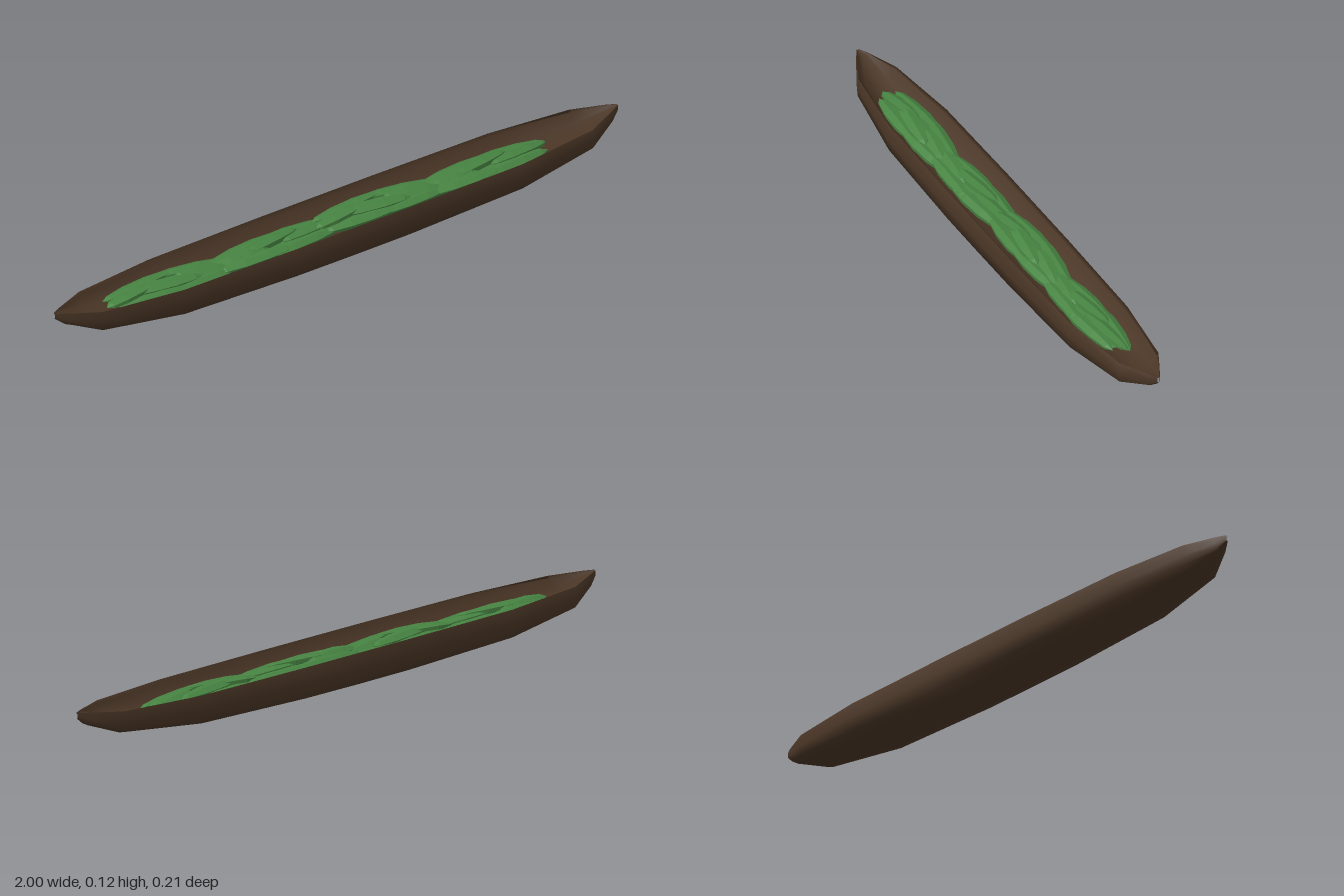
import * as THREE from 'three';

const brown = new THREE.MeshStandardMaterial({ color: 0x4a3626 });
const green = new THREE.MeshStandardMaterial({ color: 0x478442, flatShading: true });

// Stations along half the hull: x, half width, bottom, rim height, inner floor
const HALF = [
  [0, 0.105, 0, 0.11, 0.05],
  [0.2, 0.105, 0.001, 0.11, 0.05],
  [0.6, 0.1, 0.012, 0.11, 0.052],
  [0.87, 0.067, 0.04, 0.113, 0.075],
  [0.97, 0.02, 0.078, 0.119, 0.112],
  [1, 0.003, 0.102, 0.12, 0.117],
];

// Closed cross-section running under the hull, over the rims and through the hollow
function section([x, w, bottom, rim, floor]) {
  const h = rim - bottom;
  const side = [
    [0.57, bottom], [0.95, bottom + 0.11 * h], [1, bottom + 0.52 * h],
    [0.96, rim], [0.87, rim - 0.15 * (rim - floor)], [0.6, floor],
  ];
  const right = side.map(([s, y]) => [x, y, s * w]);
  const left = side.map(([s, y]) => [x, y, -s * w]).reverse();
  return [[x, bottom, 0], ...right, [x, floor, 0], ...left];
}

function hullGeometry() {
  const stations = [
    ...HALF.slice(1).reverse().map(([x, ...rest]) => [-x, ...rest]),
    ...HALF,
  ];
  const rings = stations.map(section);
  const n = rings[0].length;
  const index = [];
  for (let i = 0; i < rings.length - 1; i++) {
    for (let j = 0; j < n; j++) {
      const a = i * n + j, d = i * n + (j + 1) % n;
      index.push(a, a + n, d, d, a + n, d + n);
    }
  }
  // Close both tips
  const last = (rings.length - 1) * n;
  for (let j = 1; j < n - 1; j++) {
    index.push(0, j, j + 1, last, last + j + 1, last + j);
  }
  // Tips are wound so that they face outward along x
  const capStart = index.length - (n - 2) * 6;
  for (let k = capStart; k < index.length; k += 3) {
    [index[k + 1], index[k + 2]] = [index[k + 2], index[k + 1]];
  }
  const geo = new THREE.BufferGeometry();
  geo.setAttribute('position', new THREE.Float32BufferAttribute(rings.flat(2), 3));
  geo.setIndex(index);
  geo.computeVertexNormals();
  return geo;
}

// Pointed, faceted leaf lying along x
function leafGeometry() {
  const geo = new THREE.SphereGeometry(1, 6, 5);
  geo.rotateZ(Math.PI / 2);
  return geo;
}

// One clump of leaves: x, y, z, half length, half width, yaw, tilt
const CLUMP = [
  [0.0, 0.06, 0.0, 0.2, 0.05, 0, 0],
  [-0.1, 0.077, -0.038, 0.13, 0.026, 0.05, 0.04],
  [0.07, 0.074, -0.036, 0.14, 0.026, -0.1, -0.05],
  [-0.09, 0.072, 0.036, 0.13, 0.025, -0.06, 0.03],
  [0.1, 0.07, 0.036, 0.13, 0.025, 0.07, -0.04],
  [-0.04, 0.083, 0.008, 0.13, 0.027, -0.14, 0.02],
  [0.12, 0.076, 0.004, 0.11, 0.028, -0.16, -0.05],
  [-0.14, 0.081, -0.005, 0.1, 0.03, 0.12, 0.06],
];

export function createModel() {
  const model = new THREE.Group();
  model.name = 'canoe';

  const hull = new THREE.Mesh(hullGeometry(), brown);
  hull.name = 'hull';
  model.add(hull);

  // Bed of leaves along the hollow, repeated in four clumps
  const leaves = new THREE.Group();
  leaves.name = 'leaves';
  const leafGeo = leafGeometry();
  [-0.58, -0.21, 0.16, 0.53].forEach((cx, c) => {
    const flip = c % 2 ? -1 : 1;
    CLUMP.forEach(([x, y, z, length, width, yaw, tilt]) => {
      const leaf = new THREE.Mesh(leafGeo, green);
      leaf.name = 'leaf';
      leaf.scale.set(length, 0.014, width);
      leaf.position.set(cx + x, y + (c === 2 ? 0.006 : 0), z * flip);
      leaf.rotation.set(0.15 * Math.sign(z) * flip, yaw * flip, tilt);
      leaves.add(leaf);
    });
  });
  model.add(leaves);
  return model;
}
